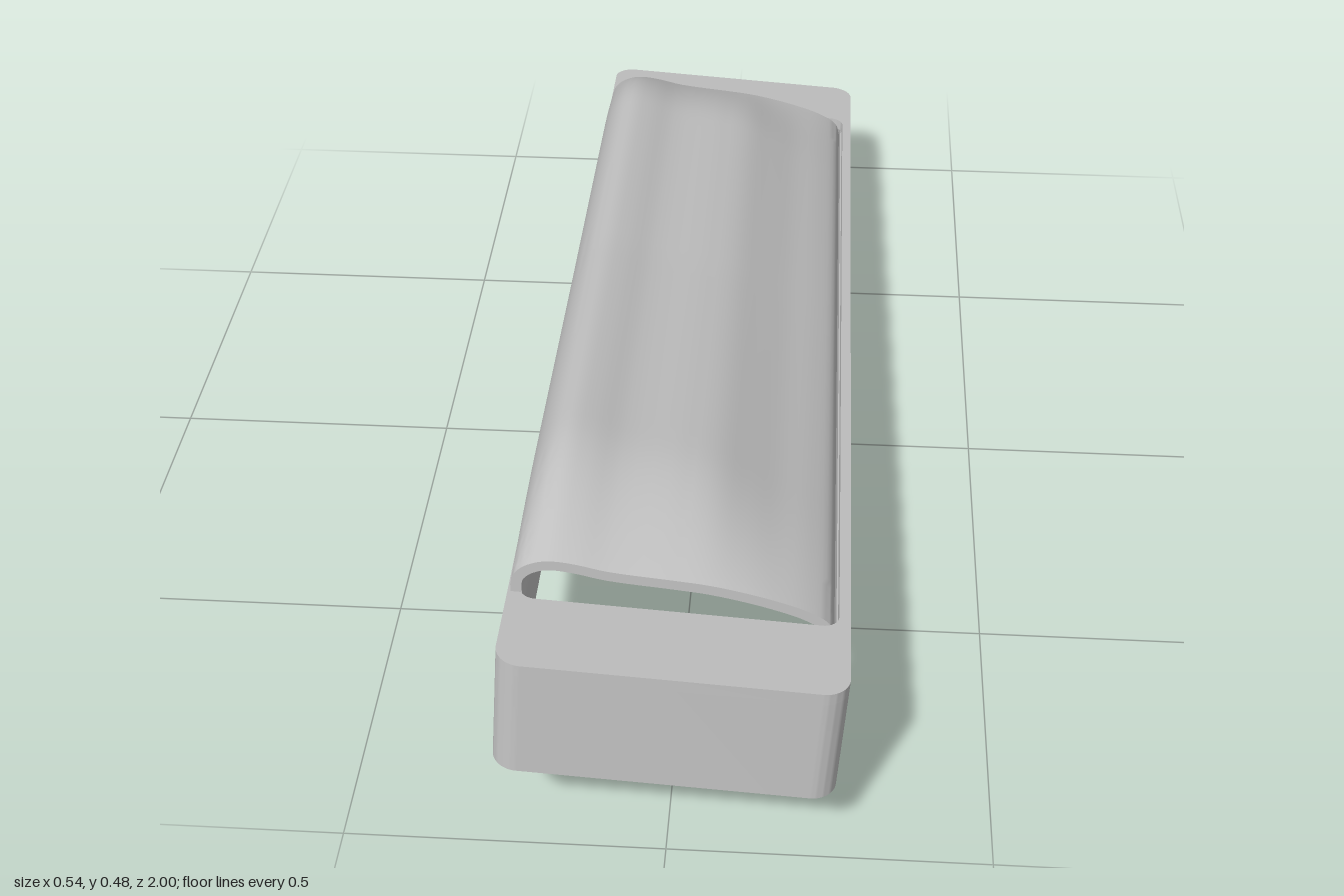
import * as THREE from 'three';
import { toCreasedNormals } from 'three/addons/utils/BufferGeometryUtils.js';

const WIDTH = 0.52, LENGTH = 1.99, HEIGHT = 0.207, WALL = 0.02;

// Rounded rectangle outline centred on the origin
function roundedRect(Type, w, l, r) {
  const s = new Type(), x = w / 2, y = l / 2;
  s.moveTo(x, -y + r);
  s.lineTo(x, y - r);
  s.absarc(x - r, y - r, r, 0, Math.PI / 2);
  s.absarc(-x + r, y - r, r, Math.PI / 2, Math.PI);
  s.absarc(-x + r, -y + r, r, Math.PI, Math.PI * 1.5);
  s.absarc(x - r, -y + r, r, Math.PI * 1.5, Math.PI * 2);
  return s;
}

// Rectangular frame lying flat, rising from y0 by the given height
function frame(holeW, holeL, holeR, y0, height) {
  const shape = roundedRect(THREE.Shape, WIDTH, LENGTH, 0.04);
  shape.holes.push(roundedRect(THREE.Path, holeW, holeL, holeR));
  const g = new THREE.ExtrudeGeometry(shape, { depth: height, bevelEnabled: false, curveSegments: 8 });
  g.rotateX(-Math.PI / 2).translate(0, y0, 0);
  return toCreasedNormals(g, 0.6);
}

// Cover profile: x, height at the ends, height in the middle (above the top plate)
const PROFILE = [
  [-0.252, -0.03, -0.03], [-0.255, 0.025, 0.05], [-0.243, 0.045, 0.1], [-0.22, 0.059, 0.132],
  [-0.195, 0.064, 0.142], [-0.16, 0.062, 0.137], [-0.11, 0.054, 0.121], [-0.01, 0.049, 0.111],
  [0.04, 0.046, 0.099], [0.09, 0.039, 0.073], [0.14, 0.029, 0.046], [0.195, 0.013, 0.022],
  [0.228, -0.006, 0], [0.238, -0.03, -0.03],
];

// Closed cross-section of the cover at z: outer line left to right, inner line back again
function coverSection(z, n, thickness) {
  const end = 0.83, t = Math.min(1, (end - Math.abs(z)) / 0.26);
  const rise = Math.sin(t * Math.PI / 2);
  const sag = 1 - 0.05 * Math.max(0, 1 - Math.abs(z) / 0.55);
  const curve = new THREE.CatmullRomCurve3(PROFILE.map(([x, a, b]) =>
    new THREE.Vector3(x, a + (b * (b > 0 ? sag : 1) - a) * rise, 0)));
  const outer = [], inner = [];
  for (let i = 0; i <= n; i++) {
    const p = curve.getPoint(i / n), d = curve.getTangent(i / n);
    outer.push([p.x, p.y]);
    inner.push([p.x + d.y * thickness, p.y - d.x * thickness]);
  }
  return [...outer, ...inner.reverse()];
}

// Sweep the changing cross-section along z and close both ends
function coverGeometry() {
  const n = 52, rows = 64, ring = 2 * (n + 1), pos = [], index = [];
  for (let j = 0; j <= rows; j++) {
    const z = -0.83 * Math.cos(Math.PI * j / rows);
    for (const [x, y] of coverSection(z, n, 0.017)) pos.push(x, HEIGHT + y, z);
  }
  for (let j = 0; j < rows; j++) {
    for (let i = 0; i < ring; i++) {
      const a = j * ring + i, b = j * ring + (i + 1) % ring;
      index.push(a, a + ring, b, b, a + ring, b + ring);
    }
  }
  const last = rows * ring;
  for (let i = 0; i < n; i++) {
    const o = i, o2 = i + 1, k = ring - 1 - i, k2 = ring - 2 - i;
    index.push(last + o, last + k, last + o2, last + o2, last + k, last + k2);
    index.push(o, o2, k, o2, k2, k);
  }
  const g = new THREE.BufferGeometry();
  g.setAttribute('position', new THREE.Float32BufferAttribute(pos, 3));
  g.setIndex(index);
  return toCreasedNormals(g, 0.7);
}

export function createModel() {
  const grey = new THREE.MeshStandardMaterial({ color: 0xc0c0c0 });
  grey.name = 'light grey';
  const housing = new THREE.Group();
  housing.name = 'housing';

  const add = (name, geometry) => {
    const m = new THREE.Mesh(geometry, grey);
    m.name = name;
    housing.add(m);
  };
  // Open-bottomed side walls
  add('walls', frame(WIDTH - 2 * WALL, LENGTH - 2 * WALL, 0.025, 0, HEIGHT - WALL));
  // Top plate with the long opening
  add('topPlate', frame(0.485, 1.685, 0.025, HEIGHT - WALL, WALL));
  // Humped cover over the opening
  add('cover', coverGeometry());

  // The whole housing rests at a slight pitch and roll
  housing.rotation.set(-0.065, 0, -0.0694, 'ZXY');
  housing.position.set(-0.008, 0.082, 0.0075);

  const model = new THREE.Group();
  model.name = 'model';
  model.add(housing);
  return model;
}
